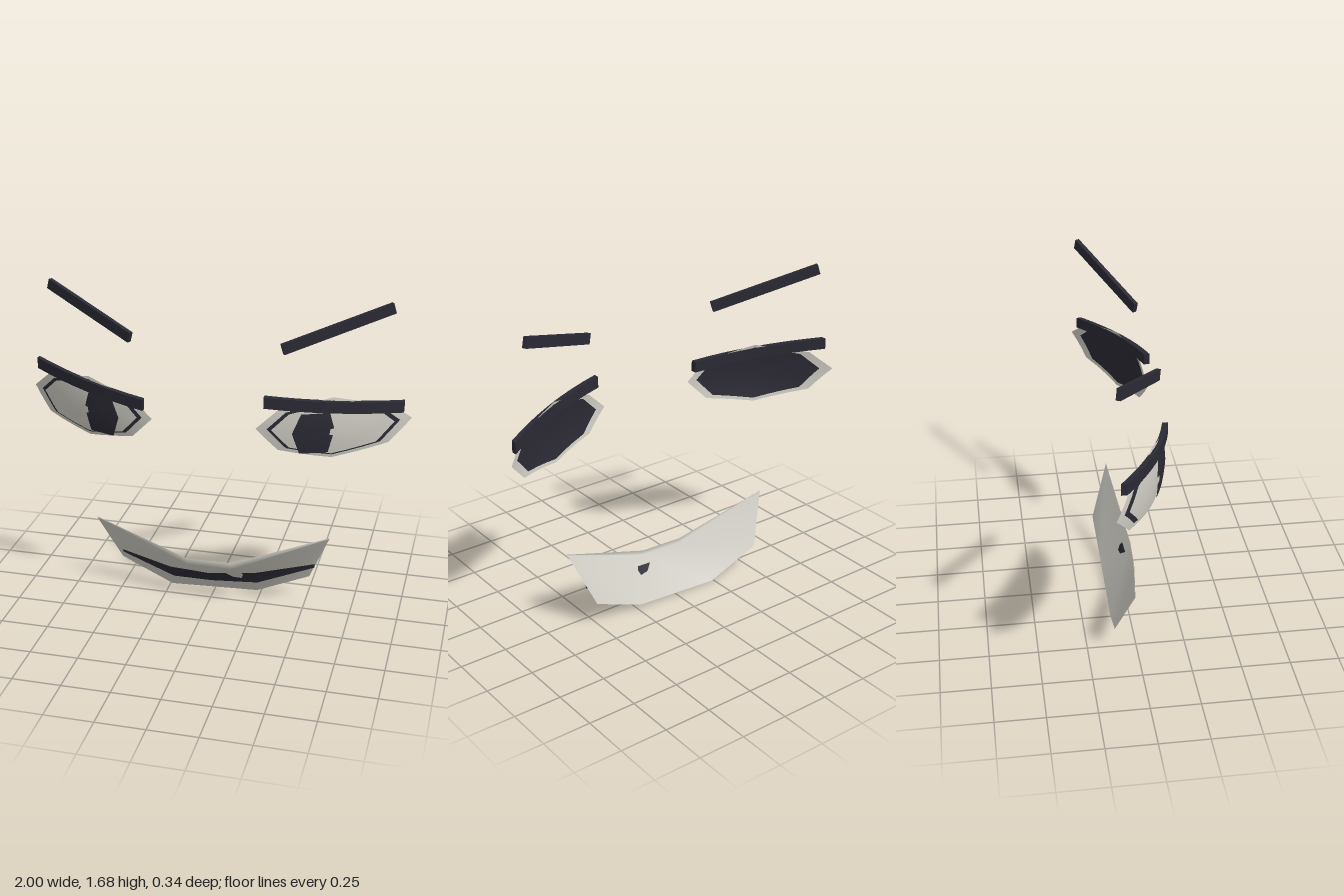
import * as THREE from 'three';

const light = new THREE.MeshStandardMaterial({ color: 0xcfcdc4, side: THREE.DoubleSide });
light.name = 'pale grey';
const dark = new THREE.MeshStandardMaterial({ color: 0x2b2a35, side: THREE.DoubleSide });
dark.name = 'dark slate';

// Curve of the face: depth at a distance from the centre line
const faceZ = (x) => {
  const t = Math.abs(x) - 0.27;
  return 0.16 - 0.305 * t - 0.36 * t * (t - 0.36);
};
const EYE = [0.63, 1.077];

function addMesh(parent, name, geometry, material) {
  const m = new THREE.Mesh(geometry, material);
  m.name = name;
  parent.add(m);
  return m;
}

// Surface through rows of points; closed joins the row ends
function sheet(rows, closed = false) {
  const n = rows[0].length, pos = rows.flat(2), index = [];
  for (let r = 0; r < rows.length - 1; r++) {
    for (let c = 0; c < (closed ? n : n - 1); c++) {
      const d = (c + 1) % n;
      const a = r * n + c, b = r * n + d, e = (r + 1) * n + d, f = (r + 1) * n + c;
      index.push(a, b, e, a, e, f);
    }
  }
  const g = new THREE.BufferGeometry();
  g.setAttribute('position', new THREE.Float32BufferAttribute(pos, 3));
  g.setIndex(index);
  g.computeVertexNormals();
  return g;
}

// Split every side of an outline into three
function subdivide(pts) {
  return pts.flatMap(([x, y], i) => {
    const [u, v] = pts[(i + 1) % pts.length];
    return [0, 1 / 3, 2 / 3].map((t) => [x + (u - x) * t, y + (v - y) * t]);
  });
}
const scaled = (pts, kx, ky, [cx, cy] = EYE) =>
  pts.map(([x, y]) => [cx + (x - cx) * kx, cy + (y - cy) * ky]);

// Lay an outline on the slightly domed eye surface
function onEye(pts, side, lift) {
  return pts.map(([x, y]) => {
    const r2 = ((x - EYE[0]) / 0.37) ** 2 + ((y - EYE[1]) / 0.16) ** 2;
    return [x * side, y, faceZ(x) + 0.018 * Math.max(0, 1 - r2) + lift];
  });
}
function eyePlate(outline, side, lift, centre = EYE) {
  const rows = [1, 0.75, 0.5, 0.25, 0].map((k) =>
    onEye(scaled(outline, k, k, centre), side, lift));
  if (side > 0) rows.reverse();
  return sheet(rows, true);
}

const RIM = subdivide([[1, 1.08], [0.895, 0.965], [0.63, 0.915], [0.375, 0.965],
  [0.265, 1.077], [0.37, 1.175], [0.63, 1.235], [0.895, 1.175]]);
const IRIS = subdivide([[0.645, 1.075], [0.615, 0.952], [0.48, 0.95],
  [0.445, 1.06], [0.485, 1.16], [0.62, 1.165]]);
const GLINT = [[0.652, 1.085], [0.65, 1.045], [0.622, 1.05], [0.626, 1.08]];

function makeEye(side) {
  const eye = new THREE.Group();
  eye.name = side > 0 ? 'leftEye' : 'rightEye';
  const backing = scaled(RIM, 0.85, 0.9);
  const rim = [onEye(RIM, side, 0), onEye(backing, side, 0)];
  if (side > 0) rim.reverse();
  addMesh(eye, 'eyeRim', sheet(rim, true), light);
  addMesh(eye, 'eyeOutline', eyePlate(backing, side, 0), dark);
  addMesh(eye, 'eyeWhite', eyePlate(scaled(RIM, 0.785, 0.84), side, 0.008), light);
  addMesh(eye, 'iris', eyePlate(IRIS, side, 0.014, [0.545, 1.06]), dark);
  addMesh(eye, 'glint', eyePlate(GLINT, side, 0.018, [0.637, 1.065]), light);

  // Upper lid: a bar bent along the face; both lids slope the same way
  const lid = new THREE.BoxGeometry(0.655, 0.058, 0.03, 8, 1, 1);
  const p = lid.attributes.position;
  for (let i = 0; i < p.count; i++) {
    const x = p.getX(i) + 0.634 * side;
    p.setXYZ(i, x, p.getY(i) + 1.188 - 0.107 * p.getX(i), p.getZ(i) + faceZ(x) + 0.012);
  }
  lid.computeVertexNormals();
  addMesh(eye, 'upperLid', lid, dark);
  return eye;
}

function makeBrow(side) {
  const outer = new THREE.Vector3(0.885 * side, 1.653, -0.135);
  const inner = new THREE.Vector3(0.382 * side, 1.482, 0.115);
  const along = inner.clone().sub(outer);
  const brow = addMesh(new THREE.Group(), side > 0 ? 'leftBrow' : 'rightBrow',
    new THREE.BoxGeometry(along.length(), 0.054, 0.022), dark);
  const ax = along.normalize();
  const az = new THREE.Vector3().crossVectors(ax, new THREE.Vector3(0, 1, 0)).normalize();
  const ay = new THREE.Vector3().crossVectors(az, ax);
  brow.quaternion.setFromRotationMatrix(new THREE.Matrix4().makeBasis(ax, ay, az));
  brow.position.copy(outer).add(inner).multiplyScalar(0.5);
  return brow;
}

function makeMouth() {
  const mouth = new THREE.Group();
  mouth.name = 'mouth';
  // Lip sheet: lower edge, forward ridge, upper edge
  addMesh(mouth, 'lips', sheet([
    [[-0.525, 0.13, -0.112], [-0.24, 0.003, -0.1], [0.235, 0.025, -0.095], [0.515, 0.14, -0.108]],
    [[-0.632, 0.395, -0.022], [-0.12, 0.213, 0.045], [0.12, 0.215, 0.055], [0.627, 0.42, -0.015]],
    [[-0.635, 0.402, -0.025], [-0.12, 0.243, 0.04], [0.12, 0.247, 0.045], [0.63, 0.427, -0.018]],
  ]), light);
  // Dark line of the mouth, standing just off the lips
  addMesh(mouth, 'mouthLine', sheet([
    [[-0.51, 0.178, -0.075], [-0.21, 0.095, -0.022], [0, 0.1, -0.012], [0.25, 0.113, -0.022], [0.55, 0.222, -0.06]],
    [[-0.51, 0.195, -0.068], [-0.22, 0.167, 0.012], [0, 0.165, 0.03], [0.25, 0.19, 0.012], [0.55, 0.245, -0.055]],
  ]), dark);
  return mouth;
}

export function createModel() {
  const model = new THREE.Group();
  model.name = 'face';
  for (const side of [1, -1]) model.add(makeEye(side), makeBrow(side));
  model.add(makeMouth());
  return model;
}
